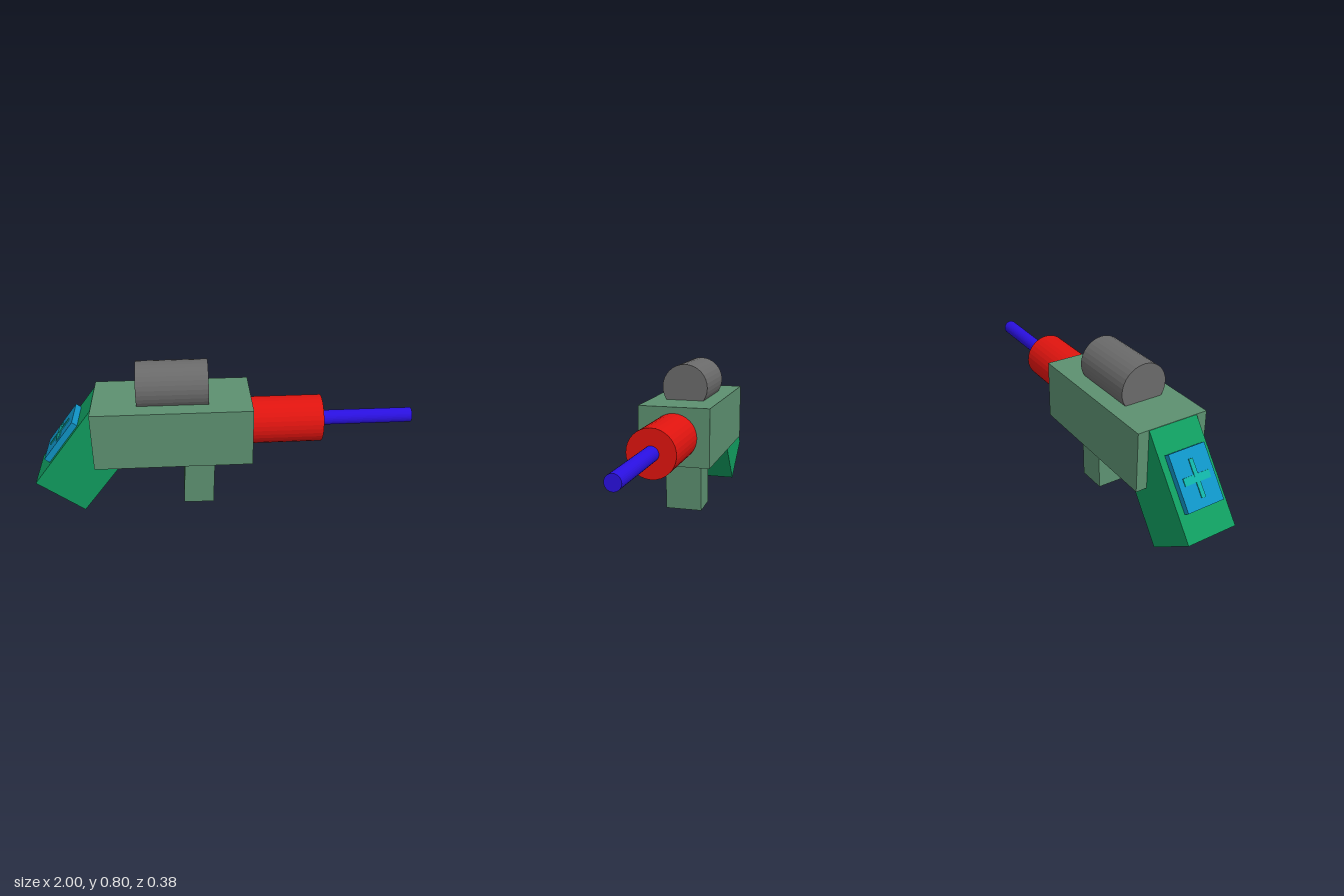
import * as THREE from 'three';

export function createModel() {
  const model = new THREE.Group();

  function add(parent, name, geometry, color, x, y, z = 0) {
    const material = new THREE.MeshStandardMaterial({ color, flatShading: true });
    const mesh = new THREE.Mesh(geometry, material);
    mesh.name = name;
    mesh.position.set(x, y, z);
    parent.add(mesh);
    return mesh;
  }

  // Cylinder lying along x between two ends
  function addTube(name, color, x0, x1, y, radius) {
    const geometry = new THREE.CylinderGeometry(radius, radius, x1 - x0, 32).rotateZ(-Math.PI / 2);
    return add(model, name, geometry, color, (x0 + x1) / 2, y);
  }

  // Main body
  add(model, 'body', new THREE.BoxGeometry(0.815, 0.312, 0.382), 0x5c9070, -0.272, 0.456);

  // Barrel, muzzle rod and the scope half sunk in the top
  addTube('barrel', 0xe0140f, 0.13, 0.51, 0.455, 0.124);
  addTube('muzzleRod', 0x2a10e0, 0.5, 1, 0.455, 0.039);
  addTube('scope', 0x6a6a6a, -0.45, -0.085, 0.681, 0.124);

  // Front grip, leaning slightly
  const grip = add(model, 'frontGrip', new THREE.BoxGeometry(0.16, 0.36, 0.2), 0x5c9070, -0.139, 0.186);
  grip.rotation.z = -0.035;

  // Stock: local x runs up its rear face, local y points out of that face
  const stock = new THREE.Group();
  stock.name = 'stock';
  stock.position.set(-1, 0.19, 0);
  stock.rotation.z = Math.atan2(0.42, 0.32);
  model.add(stock);
  add(stock, 'stockBlock', new THREE.BoxGeometry(0.528, 0.303, 0.266), 0x109c5f, 0.264, -0.1515);
  add(stock, 'panel', new THREE.BoxGeometry(0.27, 0.04, 0.2), 0x0f92c4, 0.268, 0.012);

  // Raised cross on the panel
  add(stock, 'crossLongBar', new THREE.BoxGeometry(0.18, 0.012, 0.022), 0x10b0a4, 0.265, 0.031);
  add(stock, 'crossShortBar', new THREE.BoxGeometry(0.036, 0.012, 0.144), 0x10b0a4, 0.265, 0.0305);

  return model;
}
